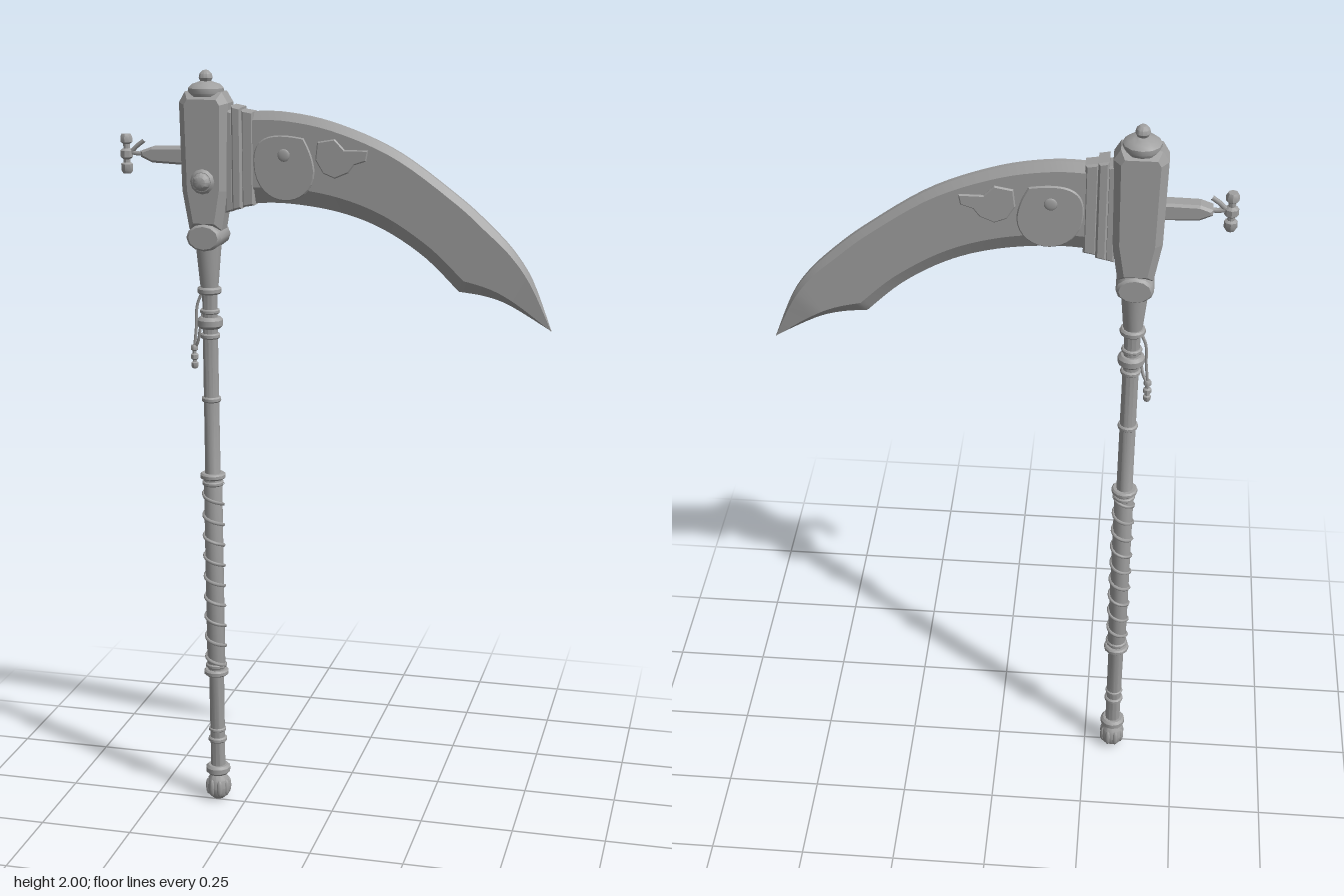
import * as THREE from 'three';
import { toCreasedNormals } from 'three/addons/utils/BufferGeometryUtils.js';

const CX = -0.328, CZ = -0.01; // shaft axis

export function createModel() {
  const model = new THREE.Group();
  model.name = 'scythe';
  const steel = new THREE.MeshStandardMaterial({ color: 0xa0a0a0 });
  steel.name = 'grey steel';

  const add = (name, geo, x = 0, y = 0, z = 0, parent = model) => {
    const m = new THREE.Mesh(geo, steel);
    m.name = name;
    m.position.set(x, y, z);
    parent.add(m);
    return m;
  };
  const V2 = (p) => new THREE.Vector2(p[0], p[1]);
  const V3 = (p) => new THREE.Vector3(p[0], p[1], p[2] ?? CZ);
  const lathe = (pts, sides = 12) =>
    toCreasedNormals(new THREE.LatheGeometry(pts.map(V2), sides), 0.6);
  // plate centred on z with chamfered rims that stay inside the outline
  const plate = (shape, depth, bevel) => {
    const g = new THREE.ExtrudeGeometry(shape, {
      depth: depth - 2 * bevel, bevelEnabled: true, bevelThickness: bevel,
      bevelSize: bevel, bevelOffset: -bevel, bevelSegments: 1, curveSegments: 16,
    });
    return g.translate(0, 0, -depth / 2 + bevel);
  };

  // Shaft with swelling below the head
  add('shaft', lathe([[0, 0.03], [0.02, 0.05], [0.021, 0.38], [0.025, 0.4], [0.025, 0.93],
    [0.021, 0.95], [0.02, 1.42], [0.025, 1.46], [0.035, 1.57], [0, 1.58]]), CX, 0, CZ);

  // Rings: height, radius, thickness
  [[0.09, 0.034, 0.026], [0.18, 0.026, 0.014], [0.21, 0.024, 0.01], [0.38, 0.034, 0.016],
    [0.4, 0.029, 0.012], [0.92, 0.029, 0.012], [0.94, 0.034, 0.016], [1.15, 0.026, 0.014],
    [1.32, 0.026, 0.014], [1.355, 0.034, 0.03], [1.385, 0.026, 0.012], [1.44, 0.032, 0.018],
  ].forEach(([y, r, h]) => {
    const b = h * 0.25;
    add('shaftRing', lathe([[0, -h / 2], [r - b, -h / 2], [r, -h / 2 + b], [r, h / 2 - b],
      [r - b, h / 2], [0, h / 2]]), CX, y, CZ);
  });

  // Fluted pommel
  add('pommel', lathe([[0, 0], [0.016, 0.003], [0.029, 0.016], [0.033, 0.038], [0.029, 0.06],
    [0.02, 0.074]]), CX, 0, CZ);
  for (let i = 0; i < 8; i++) {
    const a = (i + 0.5) * Math.PI / 4;
    const rib = add('pommelRib', new THREE.SphereGeometry(0.009, 8, 6),
      CX + 0.027 * Math.cos(a), 0.038, CZ + 0.027 * Math.sin(a));
    rib.scale.y = 2.8;
  }

  // Spiral cord round the grip
  const spiral = [];
  for (let i = 0; i <= 108; i++) {
    const a = i / 12 * Math.PI * 2;
    spiral.push(new THREE.Vector3(CX + 0.026 * Math.cos(a), 0.4 + 0.52 * i / 108, CZ + 0.026 * Math.sin(a)));
  }
  add('gripCord', new THREE.TubeGeometry(new THREE.CatmullRomCurve3(spiral), 160, 0.005, 5));

  // Head block
  const head = [[-0.043, 1.6], [0.043, 1.6], [0.06, 1.7], [0.064, 1.92], [0.048, 1.947],
    [-0.048, 1.947], [-0.064, 1.92], [-0.06, 1.7]].map(V2);
  add('headBlock', plate(new THREE.Shape(head), 0.084, 0.018), CX, 0, CZ);

  // Pivot barrel under the head, with end bosses
  const barrel = (name, r, len, y, z, sides) => {
    const b = 0.007;
    const g = lathe([[0, -len / 2], [r - b, -len / 2], [r, -len / 2 + b], [r, len / 2 - b],
      [r - b, len / 2], [0, len / 2]], sides).rotateX(Math.PI / 2);
    return add(name, g, CX, y, z);
  };
  barrel('pivotBarrel', 0.046, 0.1, 1.582, CZ, 12).scale.y = 0.75;

  // Front knob
  barrel('knobBase', 0.032, 0.014, 1.725, CZ + 0.046, 12);
  add('knob', lathe([[0.024, 0], [0.022, 0.01], [0.014, 0.018], [0, 0.021]]).rotateX(Math.PI / 2),
    CX, 1.725, 0.04);

  // Crown and finial
  add('crown', lathe([[0, 1.935], [0.042, 1.935], [0.046, 1.943], [0.046, 1.955], [0.036, 1.964],
    [0.022, 1.969], [0.014, 1.972], [0.018, 1.98], [0.016, 1.99], [0.008, 1.998], [0, 2]]), CX, 0, CZ);

  // Blade socket: three stepped plates
  [[-0.275, -0.252, 1.645, 1.905, 0.052], [-0.256, -0.23, 1.652, 1.915, 0.06],
    [-0.232, -0.2, 1.66, 1.905, 0.044]].forEach(([x0, x1, y0, y1, d]) => {
    const s = new THREE.Shape([[x0, y0], [x1, y0 + 0.006], [x1, y1 - 0.005], [x0, y1]].map(V2));
    add('bladeSocket', plate(s, d, 0.005), 0, 0, CZ);
  });

  // Blade lofted between its back and its cutting edge
  const spline = (pts) => new THREE.SplineCurve(pts.map(V2));
  const spans = [
    [spline([[-0.235, 1.898], [-0.125, 1.9], [0.008, 1.875], [0.167, 1.81], [0.325, 1.7], [0.4, 1.636]]),
      spline([[-0.235, 1.667], [-0.125, 1.672], [0.008, 1.656], [0.124, 1.618], [0.235, 1.55], [0.325, 1.465]]), 26],
    [spline([[0.4, 1.636], [0.458, 1.577], [0.51, 1.5], [0.56, 1.375]]),
      spline([[0.325, 1.465], [0.394, 1.456], [0.458, 1.434], [0.56, 1.375]]), 12],
  ];
  const section = [[0, 0.006], [0.09, 0.02], [0.82, 0.02], [1, 0.002],
    [1, -0.002], [0.82, -0.02], [0.09, -0.02], [0, -0.006]];
  const pos = [], idx = [], n = section.length;
  let rows = 0;
  spans.forEach(([back, edge, steps], k) => {
    for (let i = k; i <= steps; i++) {
      const t = i / steps, a = back.getPoint(t), b = edge.getPoint(t);
      const thick = k ? Math.min(1, 0.15 + (1 - t) * 2.2) : 1;
      section.forEach(([u, z]) => pos.push(a.x + (b.x - a.x) * u, a.y + (b.y - a.y) * u, CZ + z * thick));
      rows++;
    }
  });
  for (let i = 0; i < rows - 1; i++) {
    for (let j = 0; j < n; j++) {
      const a = i * n + j, b = i * n + (j + 1) % n;
      idx.push(a, b, b + n, a, b + n, a + n);
    }
  }
  const blade = new THREE.BufferGeometry();
  blade.setAttribute('position', new THREE.Float32BufferAttribute(pos, 3));
  blade.setIndex(idx);
  add('blade', toCreasedNormals(blade, 0.35));

  // Raised ornaments on both faces: pierced teardrop and a winged leaf
  const drop = new THREE.Shape();
  drop.moveTo(-0.2, 1.77);
  drop.bezierCurveTo(-0.205, 1.85, -0.14, 1.85, -0.07, 1.838);
  drop.bezierCurveTo(-0.055, 1.81, -0.045, 1.79, -0.042, 1.755);
  drop.bezierCurveTo(-0.045, 1.655, -0.195, 1.65, -0.2, 1.77);
  drop.holes.push(new THREE.Path().absarc(-0.122, 1.794, 0.026, 0, Math.PI * 2, true));
  const leaf = new THREE.Shape([[-0.035, 1.83], [0.01, 1.838], [0.035, 1.812], [0.095, 1.812],
    [0.09, 1.785], [0.06, 1.775], [0.045, 1.755], [0.01, 1.74], [-0.02, 1.752], [-0.04, 1.785]].map(V2));
  for (const side of [-1, 1]) {
    const z = CZ + side * 0.02;
    add('teardropOrnament', plate(drop, 0.009, 0.003), 0, 0, z);
    add('leafOrnament', plate(leaf, 0.009, 0.003), 0, 0, z);
    add('ornamentStud', new THREE.SphereGeometry(0.016, 12, 8), -0.122, 1.794, z).scale.z = 0.25;
  }

  // Rear spike
  const spike = new THREE.Shape([[-0.38, 1.762], [-0.38, 1.808], [-0.47, 1.806], [-0.5, 1.795],
    [-0.5, 1.78], [-0.47, 1.766]].map(V2));
  add('rearSpike', plate(spike, 0.042, 0.006), 0, 0, CZ);

  // Hanging charms: stacked beads on a cord
  const tube = (name, pts, r) =>
    add(name, new THREE.TubeGeometry(new THREE.CatmullRomCurve3(pts.map(V3)), 16, r, 6));
  const charm = (x, y, s) => {
    const g = new THREE.Group();
    g.name = 'charm';
    g.position.set(x, y, CZ);
    g.scale.setScalar(s);
    add('charmBeads', lathe([[0, 0.05], [0.012, 0.05], [0.016, 0.043], [0.016, 0.03], [0.009, 0.025],
      [0.009, 0.014], [0.017, 0.008], [0.017, -0.008], [0.009, -0.014], [0.009, -0.022],
      [0.016, -0.026], [0.016, -0.042], [0.011, -0.05], [0, -0.05]].reverse(), 8), 0, 0, 0, g);
    model.add(g);
  };
  charm(-0.543, 1.785, 1);
  tube('rearHook', [[-0.49, 1.788], [-0.51, 1.786], [-0.535, 1.79]], 0.006);
  tube('rearBarb', [[-0.53, 1.79], [-0.515, 1.805], [-0.495, 1.82]], 0.006);
  charm(-0.372, 1.262, 0.62);
  tube('charmCord', [[-0.345, 1.44], [-0.362, 1.4], [-0.366, 1.34], [-0.372, 1.285]], 0.004);
  tube('charmTie', [[-0.348, 1.375], [-0.352, 1.34, 0], [-0.36, 1.305, -0.005], [-0.37, 1.285]], 0.004);

  return model;
}
